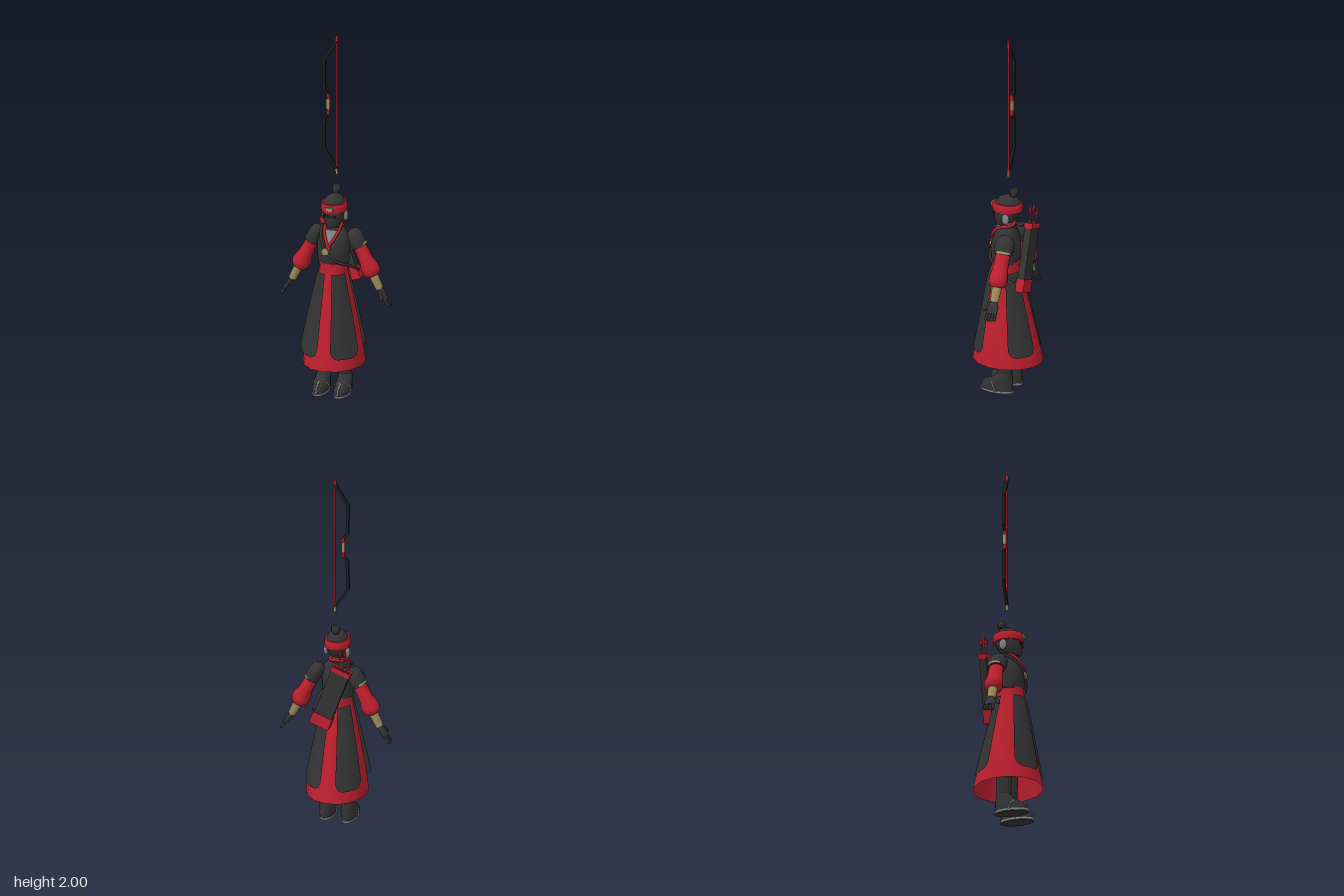
import * as THREE from 'three';

const mat = (name, color, side = THREE.FrontSide) => {
  const m = new THREE.MeshStandardMaterial({ color, side });
  m.name = name;
  return m;
};
const RED = mat('red cloth', 0xbd1f2d, THREE.DoubleSide);
const BLACK = mat('black cloth', 0x333333, THREE.DoubleSide);
const DARK = mat('dark lacquer', 0x1e1e1e);
const GOLD = mat('dull gold', 0x9a8a5c, THREE.DoubleSide);
const GREY = mat('grey', 0x848484, THREE.DoubleSide);

const V = (x, y, z) => new THREE.Vector3(x, y, z);

function add(parent, name, geo, material, x = 0, y = 0, z = 0) {
  const m = new THREE.Mesh(geo, material);
  m.name = name;
  m.position.set(x, y, z);
  parent.add(m);
  return m;
}

// Closed body through elliptical rings [y, rx, rz, cz, cx], listed from the bottom up
function loft(rings, n = 14, caps = true) {
  const pos = [], idx = [];
  for (const [y, rx, rz, cz = 0, cx = 0] of rings)
    for (let i = 0; i < n; i++) {
      const a = (i / n) * Math.PI * 2;
      pos.push(cx + Math.sin(a) * rx, y, cz + Math.cos(a) * rz);
    }
  for (let r = 0; r < rings.length - 1; r++)
    for (let i = 0; i < n; i++) {
      const a = r * n + i, b = r * n + (i + 1) % n;
      idx.push(a, b, b + n, a, b + n, a + n);
    }
  if (caps) [rings[0], rings[rings.length - 1]].forEach(([y, rx, rz, cz = 0, cx = 0], k) => {
    const base = k ? (rings.length - 1) * n : 0;
    const start = pos.length / 3;
    for (let i = 0; i < n; i++) pos.push(...pos.slice((base + i) * 3, (base + i) * 3 + 3));
    pos.push(cx, y, cz);
    for (let i = 0; i < n; i++) {
      const a = start + i, b = start + (i + 1) % n;
      if (k) idx.push(start + n, a, b); else idx.push(start + n, b, a);
    }
  });
  return build(pos, idx);
}

function build(pos, idx) {
  const g = new THREE.BufferGeometry();
  g.setAttribute('position', new THREE.Float32BufferAttribute(pos, 3));
  g.setIndex(idx);
  g.computeVertexNormals();
  return g;
}

// Skirt cross-section at height y
function skirtRing(y, off = 0) {
  const t = (y - 0.17) / 0.51;
  return [y, 0.165 - 0.088 * Math.pow(t, 1.2) + off, 0.19 - 0.11 * t + off, 0.015 * t];
}

// Cloth panel lying over the skirt between two angles, with rounded lower corners
function panel(a0, a1, flare) {
  const nu = 12, nv = 10, pos = [], idx = [];
  for (let j = 0; j <= nv; j++)
    for (let i = 0; i <= nu; i++) {
      const u = i / nu, v = j / nv;
      const yb = 0.235 + 0.04 * Math.pow(Math.abs(2 * u - 1), 6);
      const [y, rx, rz, cz] = skirtRing(yb + (0.685 - yb) * v, 0.007 + flare * u ** 4 * (1 - v));
      const a = THREE.MathUtils.degToRad(a0 + (a1 - a0) * u);
      pos.push(Math.sin(a) * rx, y, cz + Math.cos(a) * rz);
    }
  for (let j = 0; j < nv; j++)
    for (let i = 0; i < nu; i++) {
      const a = j * (nu + 1) + i, c = a + nu + 1;
      idx.push(a, a + 1, c + 1, a, c + 1, c);
    }
  return build(pos, idx);
}

const tube = (pts, r, seg = 20) =>
  new THREE.TubeGeometry(new THREE.CatmullRomCurve3(pts), seg, r, 6);

// Box beam between two points
function bar(parent, name, p, q, w, d, material) {
  const m = add(parent, name, new THREE.BoxGeometry(w, p.distanceTo(q) + w * 0.5, d), material);
  m.position.copy(p).add(q).multiplyScalar(0.5);
  m.quaternion.setFromUnitVectors(V(0, 1, 0), q.clone().sub(p).normalize());
  return m;
}

function makeArm() {
  const arm = new THREE.Group();
  add(arm, 'shoulderCap', loft([[-0.055, 0.038, 0.046], [-0.03, 0.043, 0.053], [0.01, 0.041, 0.053],
    [0.035, 0.032, 0.04], [0.048, 0.014, 0.018]]), BLACK);
  add(arm, 'armBand', new THREE.CylinderGeometry(0.047, 0.047, 0.012, 12, 1, true, Math.PI * 0.25, Math.PI * 0.6),
    GOLD, -0.004, -0.045, -0.004);
  add(arm, 'sleeve', loft([[-0.228, 0.026, 0.028], [-0.222, 0.04, 0.042], [-0.2, 0.05, 0.05], [-0.175, 0.049, 0.05],
    [-0.14, 0.038, 0.043], [-0.04, 0.032, 0.038]]), RED);
  add(arm, 'forearm', loft([[-0.305, 0.021, 0.023], [-0.21, 0.026, 0.028]], 10), GOLD);
  // Hand with four fingers and a thumb
  const hand = new THREE.Group();
  hand.name = 'hand';
  hand.position.y = -0.295;
  hand.rotation.z = 0.13;
  arm.add(hand);
  add(hand, 'palm', loft([[-0.075, 0.01, 0.03], [-0.04, 0.015, 0.031], [-0.005, 0.014, 0.02], [0.005, 0.012, 0.017]], 10), BLACK);
  [-0.024, -0.008, 0.008, 0.023].forEach((z, i) => {
    const f = add(hand, 'finger', new THREE.CapsuleGeometry(0.0075, [0.03, 0.042, 0.045, 0.036][i], 3, 6), BLACK, 0, -0.09, z);
    f.rotation.x = -z * 4;
  });
  const thumb = add(hand, 'thumb', new THREE.CapsuleGeometry(0.009, 0.045, 3, 6), BLACK, 0, -0.042, 0.036);
  thumb.rotation.x = -0.6;
  return arm;
}

function makeLeg() {
  const leg = new THREE.Group();
  add(leg, 'leg', loft([[0.09, 0.031, 0.037, -0.008], [0.13, 0.035, 0.043, -0.008], [0.4, 0.04, 0.045, 0]]), BLACK);
  add(leg, 'solePlate', loft([[0, 0.04, 0.09, 0.035], [0.004, 0.04, 0.09, 0.035]]), BLACK);
  add(leg, 'soleRim', loft([[0.003, 0.044, 0.095, 0.035], [0.014, 0.044, 0.095, 0.035]]), GREY);
  add(leg, 'shoe', loft([[0.012, 0.042, 0.091, 0.035], [0.035, 0.044, 0.09, 0.034], [0.062, 0.041, 0.072, 0.018],
    [0.085, 0.038, 0.052, 0], [0.11, 0.033, 0.041, -0.008]]), BLACK);
  add(leg, 'instepStrap', tube([V(-0.045, 0.01, 0.03), V(-0.04, 0.05, 0.045), V(0, 0.066, 0.075),
    V(0.04, 0.05, 0.045), V(0.045, 0.01, 0.03)], 0.005), GREY);
  add(leg, 'toeStrap', tube([V(0, 0.066, 0.075), V(0, 0.046, 0.11), V(0, 0.01, 0.129)], 0.005), GREY);
  return leg;
}

function makeQuiver() {
  const q = new THREE.Group();
  q.name = 'quiver';
  q.position.set(0, 0.765, -0.113);
  q.rotation.z = THREE.MathUtils.degToRad(20);
  add(q, 'quiverBody', new THREE.BoxGeometry(0.102, 0.34, 0.038), BLACK);
  add(q, 'quiverBase', new THREE.BoxGeometry(0.11, 0.07, 0.046), RED, 0, -0.15, 0);
  const frame = (w, h) => [[-w, -h], [w, -h], [w, h], [-w, h]].map(([x, y]) => new THREE.Vector2(x, y));
  const rim = new THREE.Shape(frame(0.055, 0.023));
  rim.holes.push(new THREE.Path(frame(0.046, 0.016)));
  const rimGeo = new THREE.ExtrudeGeometry(rim, { depth: 0.028, bevelEnabled: false });
  add(q, 'quiverRim', rimGeo.rotateX(-Math.PI / 2), RED, 0, 0.157, 0);
  add(q, 'quiverOpening', new THREE.BoxGeometry(0.092, 0.003, 0.032), DARK, 0, 0.171, 0);
  // Arrows
  [[-0.028, 0.265, -0.12], [-0.005, 0.29, -0.2], [0.018, 0.275, -0.28]].forEach(([x, top, lean], i) => {
    const a = new THREE.Group();
    a.name = 'arrow';
    a.position.set(x, 0.17, (i - 1) * 0.007);
    a.rotation.z = lean;
    const h = top - 0.17;
    add(a, 'shaft', new THREE.CylinderGeometry(0.003, 0.003, h, 6), GOLD, 0, h / 2, 0);
    for (const r of [0, Math.PI / 2])
      add(a, 'fletching', new THREE.BoxGeometry(0.014, 0.045, 0.003), RED, 0, h - 0.026, 0).rotation.y = r;
    q.add(a);
  });
  return q;
}

function makeBow() {
  const bow = new THREE.Group();
  bow.name = 'bow';
  bow.position.set(0, 1.605, -0.008);
  bar(bow, 'bowString', V(0.012, -0.375, 0), V(0.012, 0.375, 0), 0.009, 0.008, RED);
  for (const s of [1, -1]) {
    bar(bow, 'innerLimb', V(-0.058, 0.08 * s, 0), V(-0.06, 0.245 * s, 0), 0.016, 0.016, DARK);
    bar(bow, 'outerLimb', V(-0.06, 0.25 * s, 0), V(0.008, 0.355 * s, 0), 0.015, 0.015, DARK);
    bar(bow, 'gripCurve', V(-0.056, 0.077 * s, 0), V(-0.038, 0.055 * s, 0), 0.014, 0.016, DARK);
    bar(bow, 'gripWrap', V(-0.036, 0.053 * s, 0), V(-0.034, 0.028 * s, 0), 0.013, 0.017, RED);
    bar(bow, 'bowTip', V(0.009, 0.352 * s, 0), V(0.012, 0.388 * s, 0), 0.012, 0.013, s > 0 ? RED : GOLD);
  }
  add(bow, 'grip', new THREE.BoxGeometry(0.017, 0.055, 0.019), GOLD, -0.036, 0, 0);
  return bow;
}

export function createModel() {
  const model = new THREE.Group();

  // Skirt with four overlaid panels
  add(model, 'skirt', loft([0.17, 0.28, 0.4, 0.52, 0.62, 0.68].map(y => skirtRing(y)), 14, false), RED);
  for (const [a0, a1, flare] of [[13, 67, 0.014], [165, 113, 0.006]]) {
    add(model, 'skirtPanelLeft', panel(a0, a1, flare), BLACK);
    add(model, 'skirtPanelRight', panel(-a0, -a1, flare), BLACK);
  }

  // Torso, sash and collar
  add(model, 'sash', loft([[0.67, 0.078, 0.081, 0.015], [0.705, 0.073, 0.075, 0.013], [0.74, 0.078, 0.076, 0.012]]), RED);
  add(model, 'torso', loft([[0.728, 0.083, 0.07, 0.01], [0.77, 0.086, 0.077, 0.012], [0.81, 0.087, 0.08, 0.012],
    [0.85, 0.088, 0.074, 0.01], [0.9, 0.074, 0.052, 0.006], [0.93, 0.043, 0.04, 0]], 18), BLACK);
  add(model, 'neck', new THREE.CylinderGeometry(0.026, 0.03, 0.09, 12), GREY, 0, 0.93, 0.003);
  add(model, 'chestOpening', build([-0.004, 0.835, 0.096, 0.036, 0.92, 0.048, 0, 0.925, 0.066, -0.036, 0.92, 0.048],
    [0, 1, 2, 0, 2, 3]), GREY);
  add(model, 'collar', tube([V(0.006, 0.825, 0.097), V(-0.022, 0.875, 0.08), V(-0.042, 0.925, 0.038), V(-0.03, 0.94, -0.025),
    V(0.03, 0.94, -0.025), V(0.042, 0.925, 0.038), V(0.022, 0.875, 0.08), V(-0.014, 0.825, 0.095)], 0.0085, 36), RED);
  add(model, 'quiverStrap', tube([V(-0.06, 0.915, -0.06), V(-0.065, 0.915, 0.02), V(-0.045, 0.86, 0.078), V(-0.015, 0.81, 0.094),
    V(0.045, 0.755, 0.084), V(0.09, 0.725, 0.03), V(0.105, 0.66, -0.09)], 0.008, 30), BLACK);
  const badge = add(model, 'strapBadge', new THREE.CylinderGeometry(0.021, 0.021, 0.009, 8), GOLD, -0.017, 0.812, 0.1);
  badge.rotation.x = Math.PI / 2;

  // Head, hair knot and headband
  const head = new THREE.Group();
  head.name = 'head';
  model.add(head);
  add(head, 'maskedHead', loft([[0.935, 0.028, 0.03, 0.035], [0.955, 0.043, 0.05, 0.022], [0.985, 0.055, 0.066, 0.01],
    [1.03, 0.061, 0.075, 0.002], [1.065, 0.056, 0.07, 0], [1.09, 0.04, 0.05, -0.002], [1.104, 0.016, 0.02, -0.004]], 18), BLACK);
  add(head, 'headband', loft([[1.018, 0.066, 0.08, 0.002], [1.03, 0.07, 0.084, 0.002],
    [1.052, 0.07, 0.084, 0.002], [1.066, 0.064, 0.078, 0.002]], 14), RED);
  add(head, 'headbandPlate', new THREE.BoxGeometry(0.04, 0.022, 0.008), GOLD, 0, 1.045, 0.087);
  add(head, 'eyeStrip', new THREE.BoxGeometry(0.06, 0.014, 0.008), DARK, 0, 1.002, 0.073);
  add(head, 'hairTie', new THREE.CylinderGeometry(0.013, 0.016, 0.025, 8), BLACK, 0, 1.105, -0.025);
  add(head, 'hairKnot', loft([[1.108, 0.017, 0.017], [1.116, 0.024, 0.023], [1.138, 0.024, 0.023], [1.147, 0.016, 0.016]], 8),
    BLACK, 0, 0, -0.034);
  for (const s of [1, -1])
    add(head, 'ear', new THREE.SphereGeometry(1, 10, 8), GREY, s * 0.06, 0.988, -0.012).scale.set(0.012, 0.03, 0.021);

  // Paired limbs
  for (const s of [1, -1]) {
    const side = s > 0 ? 'left' : 'right';
    const arm = makeArm();
    arm.name = side + 'Arm';
    arm.rotation.z = THREE.MathUtils.degToRad(26);
    const holder = new THREE.Group();
    holder.name = side + 'ArmMount';
    holder.scale.x = s;
    arm.position.set(0.108, 0.866, -0.029);
    holder.add(arm);
    model.add(holder);
    const leg = makeLeg();
    leg.name = side + 'Leg';
    leg.position.x = s * 0.06;
    model.add(leg);
  }

  model.add(makeQuiver(), makeBow());
  return model;
}
